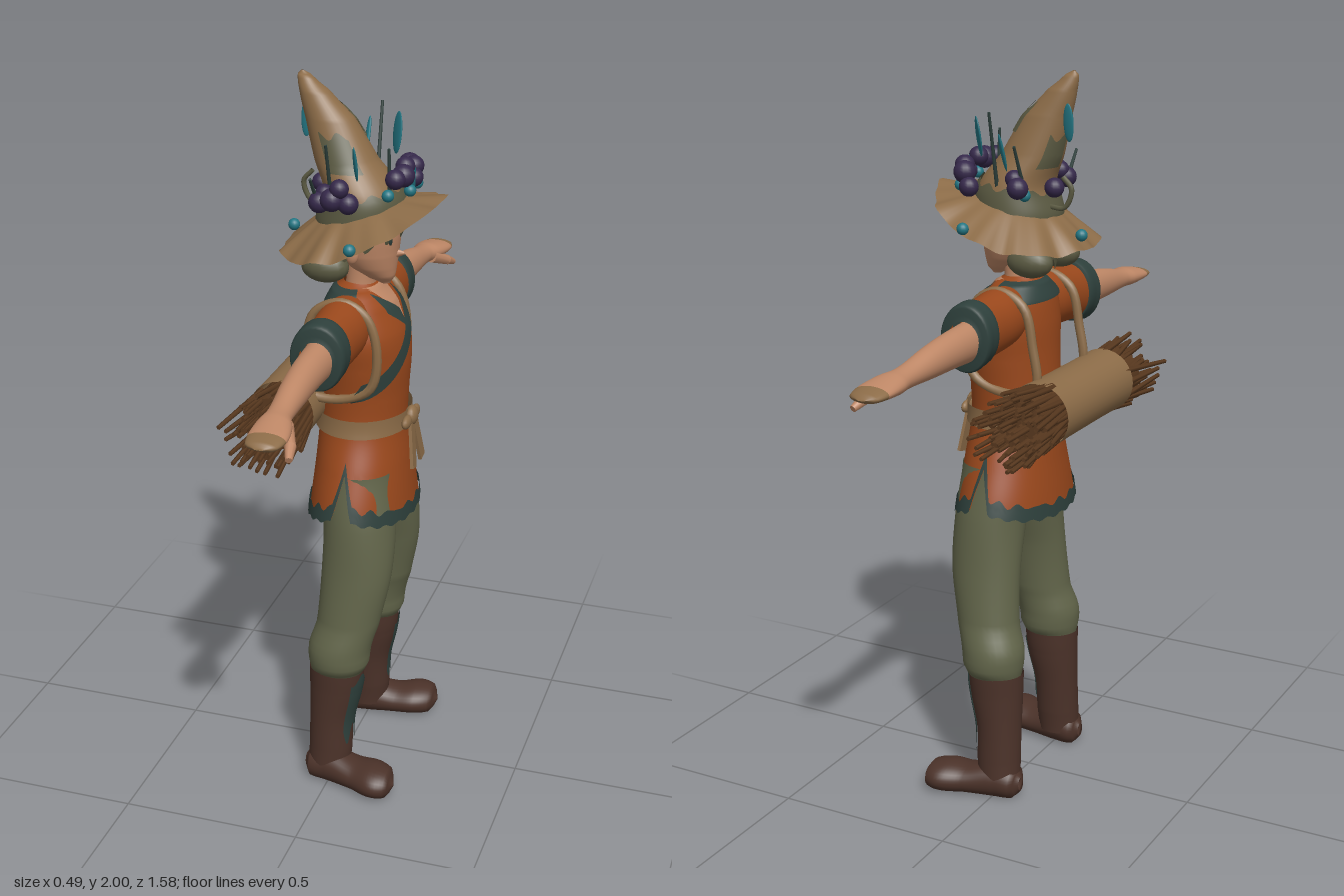
import * as THREE from 'three';
import { mergeGeometries } from 'three/addons/utils/BufferGeometryUtils.js';
import { ParametricGeometry } from 'three/addons/geometries/ParametricGeometry.js';

const PI = Math.PI, TAU = PI * 2;
const mat = (name, color) => {
  const m = new THREE.MeshStandardMaterial({ color, side: THREE.DoubleSide });
  m.name = name;
  return m;
};

// Seeded random numbers
let seed = 7;
const rnd = () => (seed = (seed * 16807) % 2147483647) / 2147483647;

// Rows are [position, centreX, centreZ, radiusX, radiusZ], in rising order; returns a smooth section
function section(rows, y) {
  let i = 0;
  while (i < rows.length - 2 && y > rows[i + 1][0]) i++;
  const t = (y - rows[i][0]) / (rows[i + 1][0] - rows[i][0]);
  const a = rows[Math.max(i - 1, 0)], b = rows[i], c = rows[i + 1], d = rows[Math.min(i + 2, rows.length - 1)];
  return [1, 2, 3, 4].map(k => 0.5 * (2 * b[k] + (c[k] - a[k]) * t + (2 * a[k] - 5 * b[k] + 4 * c[k] - d[k]) * t * t
    + (3 * b[k] - a[k] - 3 * c[k] + d[k]) * t * t * t));
}

// Skin over elliptical sections, or an offset piece of it
function shell(rows, { lo = rows[0][0], hi = rows[rows.length - 1][0], t0 = 0, t1 = TAU, off = 0, n = 32, m = 28 } = {}) {
  const at = (f, a) => (typeof f === 'function' ? f(a) : f);
  return new ParametricGeometry((u, v, p) => {
    const a = t0 + (t1 - t0) * u, l = at(lo, a), y = l + (at(hi, a) - l) * v;
    const [cx, cz, rx, rz] = section(rows, y);
    p.set(cx + (Math.max(rx, 0.001) + off) * Math.sin(a), y, cz + (Math.max(rz, 0.001) + off) * Math.cos(a));
  }, n, m);
}
// Rows along x: [x, y, z, ry, rz];  rows along z: [z, x, y, rx, ry]
const alongX = (rows, o) => shell(rows.map(r => [r[0], -r[1], r[2], r[3], r[4]]), o).rotateZ(-PI / 2);
const alongZ = (rows, o) => shell(rows.map(r => [r[0], r[1], -r[2], r[3], r[4]]), o).rotateX(PI / 2);

function mirrored(geo) {
  const g = geo.clone().scale(-1, 1, 1), ix = g.index.array;
  for (let i = 0; i < ix.length; i += 3) [ix[i], ix[i + 1]] = [ix[i + 1], ix[i]];
  return g;
}

// Cylinder between two points
function rod(a, b, r0, r1 = r0, sides = 5) {
  const d = b.clone().sub(a), g = new THREE.CylinderGeometry(r1, r0, d.length(), sides);
  g.applyQuaternion(new THREE.Quaternion().setFromUnitVectors(new THREE.Vector3(0, 1, 0), d.normalize()));
  const c = a.clone().add(b).multiplyScalar(0.5);
  return g.translate(c.x, c.y, c.z);
}
const V = (x, y, z) => new THREE.Vector3(x, y, z);
const ball = (x, y, z, rx, ry = rx, rz = rx) => new THREE.SphereGeometry(1, 16, 12).scale(rx, ry, rz).translate(x, y, z);

export function createModel() {
  seed = 7;
  const model = new THREE.Group(), body = new THREE.Group();
  body.name = 'forager';
  body.rotation.y = PI / 2; // parts are built facing +z, then turned to face +x
  model.add(body);
  const straw = mat('straw tan', 0x8c6c48), skin = mat('skin', 0xbe8766), rust = mat('rust cloth', 0x9a481c),
    trim = mat('dark teal trim', 0x2e403c), olive = mat('olive trousers', 0x62654a), leather = mat('boot leather', 0x4b3229),
    bark = mat('twig bark', 0x59391f), berry = mat('berry purple', 0x35284a), leaf = mat('leaf cyan', 0x237683),
    moss = mat('moss hair', 0x5b5a42);
  const add = (name, geo, m) => {
    const mesh = new THREE.Mesh(geo, m);
    mesh.name = name;
    body.add(mesh);
  };
  const pair = (name, geo, m) => { add(name + 'Left', geo, m); add(name + 'Right', mirrored(geo), m); };

  // Trousers
  pair('trouserLeg', shell([[0.345, 0.172, 0.013, 0.06, 0.07], [0.38, 0.172, 0.02, 0.08, 0.084], [0.43, 0.17, 0.022, 0.083, 0.088],
    [0.5, 0.158, 0.042, 0.077, 0.088], [0.65, 0.138, 0.06, 0.08, 0.098], [0.8, 0.108, 0.06, 0.096, 0.1], [0.95, 0.09, 0.045, 0.09, 0.1]]), olive);

  // Boots: shaft, foot with flat sole, teal patch on the shin
  const shaft = [[0.04, 0.187, -0.005, 0.056, 0.06], [0.1, 0.183, -0.002, 0.057, 0.062], [0.2, 0.177, 0, 0.06, 0.063],
    [0.3, 0.171, 0.01, 0.068, 0.074], [0.365, 0.17, 0.013, 0.072, 0.078]];
  pair('bootShaft', shell(shaft), leather);
  pair('bootPatch', shell(shaft, { lo: a => 0.16 + 0.03 * Math.sin(a * 9), hi: a => 0.34 + 0.015 * Math.sin(a * 7), t0: -0.3, t1: 0.75, off: 0.004 }), trim);
  const foot = alongZ([[-0.073, 0.188, 0.04, 0.015, 0.02], [-0.055, 0.188, 0.042, 0.048, 0.045], [0, 0.194, 0.045, 0.053, 0.052],
    [0.08, 0.21, 0.038, 0.06, 0.042], [0.14, 0.226, 0.04, 0.07, 0.044], [0.185, 0.232, 0.038, 0.052, 0.036], [0.2, 0.234, 0.036, 0.004, 0.004]]);
  const fp = foot.attributes.position;
  for (let i = 0; i < fp.count; i++) fp.setY(i, Math.max(0, fp.getY(i)));
  pair('bootFoot', foot, leather);

  // Tunic with ragged hem and side slits
  const torso = [[0.76, 0, 0.04, 0.235, 0.145], [0.85, 0, 0.04, 0.215, 0.138], [0.95, 0, 0.04, 0.18, 0.128], [1.06, 0, 0.038, 0.142, 0.118],
    [1.15, 0, 0.04, 0.138, 0.118], [1.25, 0, 0.045, 0.15, 0.118], [1.33, 0, 0.042, 0.16, 0.112], [1.4, 0, 0.03, 0.14, 0.09],
    [1.44, 0, 0.022, 0.085, 0.062], [1.455, 0, 0.022, 0.04, 0.04]];
  const hem = a => {
    const d = Math.abs(Math.abs(a > PI ? a - TAU : a) - PI / 2);
    return 0.85 - 0.045 * Math.abs(Math.cos(a)) + 0.004 * Math.sin(a * 23) + 0.11 * Math.max(0, 1 - d / 0.2);
  };
  add('tunic', shell(torso, { lo: hem, n: 128, m: 44 }), rust);
  add('hemTrim', shell(torso, { lo: a => hem(a) - 0.004, hi: a => hem(a) + 0.034 + 0.006 * Math.sin(a * 17), off: 0.005, n: 128, m: 4 }), trim);
  add('collarBack', shell(torso, { lo: 1.395, hi: 1.447, t0: PI * 0.4, t1: PI * 1.6, off: 0.006, m: 8 }), trim);

  // Pieces lying on the chest
  const onChest = (x, y, off, p) => {
    const [cx, cz, rx, rz] = section(torso, y), s = Math.min(0.999, Math.abs(x) / (rx + off));
    p.set(Math.sign(x) * s * (rx + off), y, cz + (rz + off) * Math.sqrt(1 - s * s));
  };
  const ribbon = (x0, y0, x1, y1, w, off) => new ParametricGeometry((u, v, p) =>
    onChest(x0 + (x1 - x0) * u, y0 + (y1 - y0) * u + (v - 0.5) * w, off, p), 30, 4);
  add('openNeck', new ParametricGeometry((u, v, p) => onChest((u - 0.5) * 0.11 * v, 1.35 + 0.098 * v, 0.004, p), 12, 12), skin);
  add('lapelLong', ribbon(-0.148, 1.185, 0.075, 1.41, 0.055, 0.008), trim);
  add('lapelShort', ribbon(-0.065, 1.415, 0.0, 1.36, 0.05, 0.007), trim);

  // Sash with knot and hanging tails
  add('sash', shell(torso, { lo: 1.055, hi: 1.105, off: 0.012, m: 6 }), straw);
  add('sashKnot', ball(0, 1.08, 0.172, 0.03, 0.028, 0.018), straw);
  for (const s of [-1, 1]) {
    add('sashTail', new THREE.BoxGeometry(0.034, 0.13, 0.009).rotateX(-0.12).rotateZ(s * 0.22).translate(s * 0.026, 1.005, 0.183), straw);
    add('sashLoop', ball(s * 0.04, 1.075, 0.17, 0.03, 0.018, 0.012), straw);
  }

  // Sleeves, cuffs, arms and hands
  pair('sleeve', alongX([[0.05, 1.365, 0.02, 0.07, 0.06], [0.13, 1.362, 0.02, 0.08, 0.072], [0.22, 1.355, 0.018, 0.08, 0.068], [0.31, 1.35, 0.015, 0.08, 0.066]]), rust);
  pair('cuff', alongX([[0.262, 1.354, 0.015, 0.06, 0.05], [0.268, 1.354, 0.015, 0.086, 0.071], [0.3, 1.352, 0.014, 0.09, 0.073], [0.328, 1.348, 0.013, 0.086, 0.07], [0.334, 1.347, 0.013, 0.05, 0.045]]), trim);
  const arm = [[0.25, 1.34, 0.014, 0.055, 0.046], [0.4, 1.338, 0.013, 0.048, 0.041], [0.5, 1.331, 0.015, 0.041, 0.037], [0.62, 1.319, 0.02, 0.028, 0.032],
    [0.67, 1.315, 0.026, 0.027, 0.045], [0.73, 1.311, 0.031, 0.02, 0.05], [0.775, 1.308, 0.031, 0.013, 0.04], [0.79, 1.307, 0.03, 0.002, 0.012]];
  pair('arm', alongX(arm, { hi: 0.74 }), skin);
  pair('fingers', alongX(arm, { lo: 0.74, m: 10 }), straw);
  pair('thumb', rod(V(0.645, 1.308, 0.045), V(0.705, 1.28, 0.078), 0.02, 0.014, 10), skin);
  pair('thumbTip', rod(V(0.7, 1.283, 0.076), V(0.74, 1.265, 0.086), 0.015, 0.009, 10), skin);

  // Neck, head and face
  add('neck', shell([[1.4, 0, 0.025, 0.055, 0.045], [1.45, 0, 0.028, 0.042, 0.04], [1.53, 0, 0.035, 0.04, 0.04]]), skin);
  add('head', shell([[1.452, 0, 0.095, 0.01, 0.012], [1.47, 0, 0.082, 0.035, 0.038], [1.5, 0, 0.06, 0.06, 0.065], [1.54, 0, 0.045, 0.078, 0.085],
    [1.6, 0, 0.04, 0.088, 0.095], [1.66, 0, 0.038, 0.085, 0.09], [1.7, 0, 0.03, 0.04, 0.04]]), skin);
  add('nose', rod(V(0, 1.535, 0.115), V(0, 1.538, 0.147), 0.016, 0.004, 8), skin);
  pair('eye', ball(0.04, 1.585, 0.121, 0.015, 0.016, 0.004), trim);
  pair('ear', ball(0.087, 1.55, 0.03, 0.012, 0.026, 0.018), skin);

  // Hair cap with strands over the brow, and low side buns
  add('hair', shell([[1.45, 0, -0.01, 0.06, 0.06], [1.52, 0, 0.01, 0.09, 0.09], [1.6, 0, 0.032, 0.1, 0.112], [1.66, 0, 0.035, 0.1, 0.105], [1.69, 0, 0.03, 0.06, 0.06]],
    { lo: a => 1.545 + 0.055 * Math.cos(a) + 0.016 * Math.sin(a * 13), n: 96 }), moss);
  pair('hairBun', ball(0.08, 1.508, -0.045, 0.042, 0.042, 0.065), moss);

  // Hat: drooping brim tilted back, bent cone, mossy band and patches
  add('hatBrim', new ParametricGeometry((u, v, p) => {
    const a = u * TAU, c = Math.cos(a), s = Math.sin(a), w = 0.005 * Math.sin(a * 9) + 0.003 * Math.sin(a * 16);
    const y0 = 1.66 + 0.025 * c, y1 = 1.598 + 0.075 * c + 0.018 * Math.cos(2 * a) + w;
    p.set(s * (0.1 + (0.135 + w) * v), y0 + (y1 - y0) * Math.pow(v, 1.15), 0.03 + 0.005 * v + c * (0.1 + (0.113 + w) * v));
  }, 96, 12), straw);
  const cone = [[1.63, 0, 0.03, 0.118, 0.112], [1.7, 0, 0.032, 0.11, 0.1], [1.78, 0, -0.012, 0.08, 0.084], [1.88, 0, -0.054, 0.054, 0.066],
    [1.95, 0, -0.097, 0.033, 0.04], [1.99, 0, -0.124, 0.014, 0.018], [2, 0, -0.13, 0.002, 0.003]];
  add('hatCone', shell(cone, { m: 40 }), straw);
  add('hatBand', shell(cone, { lo: a => 1.64 + 0.02 * Math.cos(a), hi: a => 1.7 + 0.015 * Math.cos(a) + 0.008 * Math.sin(a * 11), off: 0.008, n: 64, m: 8 }), moss);
  [[0.1, 0.9, 1.84, 1.91], [-1.9, -0.9, 1.76, 1.85], [2.3, 3.1, 1.75, 1.83]].forEach(([t0, t1, lo, hi]) =>
    add('hatPatch', shell(cone, { t0, t1, lo, hi: a => hi + 0.01 * Math.sin(a * 9), off: 0.004, n: 12, m: 8 }), moss));

  // Berry clusters [x, y, z, radius]
  const berries = [[0.14, 1.71, -0.04, 0.028], [0.12, 1.73, -0.02, 0.024], [0.13, 1.74, 0.12, 0.03], [0.145, 1.705, 0.1, 0.026], [0.085, 1.75, 0.145, 0.027],
    [0.05, 1.73, 0.155, 0.025], [0.02, 1.765, 0.14, 0.026], [-0.03, 1.755, 0.15, 0.03], [-0.07, 1.755, 0.14, 0.026], [-0.16, 1.715, 0.0, 0.03],
    [-0.14, 1.7, -0.04, 0.028], [-0.15, 1.705, 0.04, 0.027], [-0.16, 1.745, 0.02, 0.025], [-0.125, 1.72, -0.03, 0.024], [0.03, 1.7, -0.09, 0.026]];
  add('berries', mergeGeometries(berries.map(b => ball(...b))), berry);
  const beads = [[0.232, 1.612, 0.07], [-0.232, 1.612, 0.07], [0.1, 1.7, 0.15], [-0.02, 1.715, 0.165], [-0.1, 1.72, 0.13], [0.12, 1.69, -0.05], [0.02, 1.58, -0.165]];
  add('beads', mergeGeometries(beads.map(b => ball(...b, 0.016))), leaf);

  // Upright leaves on the hat [x, y, z, width, height, lean, turn]
  [[0.1, 1.83, 0.095, 0.026, 0.055, -0.25, 0.7], [-0.12, 1.8, 0.05, 0.012, 0.05, 0.3, 0.5], [0.03, 1.74, 0.16, 0.024, 0.035, 0.3, 0.1],
    [0.03, 1.87, -0.13, 0.016, 0.05, -0.1, 1.4], [0.145, 1.8, -0.0, 0.01, 0.055, -0.4, 0.8]].forEach(([x, y, z, w, h, lean, turn]) =>
    add('hatLeaf', ball(0, 0, 0, w, h, 0.005).rotateY(turn).rotateZ(lean).translate(x, y, z), leaf));
  const sprigs = [[-0.1, -0.02, -0.145, 1.85], [0.1, 0.04, 0.145, 1.9], [0.1, -0.04, 0.16, 1.82], [-0.05, 0.12, -0.06, 1.83], [-0.12, -0.05, -0.18, 1.77]];
  add('hatSprigs', mergeGeometries(sprigs.map(([x, z, x1, y1]) => rod(V(x, 1.69, z), V(x1, y1, z), 0.006, 0.004))), trim);
  add('hatTendril', new THREE.TubeGeometry(new THREE.CatmullRomCurve3([V(0.03, 1.65, -0.08), V(0.03, 1.65, -0.12), V(0.03, 1.7, -0.14), V(0.03, 1.73, -0.115)]), 16, 0.007, 6), moss);

  // Bundle of twigs in a cloth wrap across the back
  const by = 1.13, bz = -0.13;
  add('bundleWrap', alongX([[-0.2, by, bz, 0.088, 0.09], [-0.1, by, bz, 0.086, 0.09], [0.1, by, bz, 0.086, 0.09], [0.2, by, bz, 0.088, 0.09]]), straw);
  add('bundleCore', new THREE.CylinderGeometry(0.075, 0.075, 0.56, 12).rotateZ(PI / 2).translate(0, by, bz), bark);
  const twigs = [];
  for (let i = 0; i < 220; i++) {
    const s = i % 2 ? 1 : -1, a = rnd() * TAU, r = 0.08 * Math.sqrt(rnd()), k = 1.1 + 0.32 * rnd(), b = a + (rnd() - 0.5) * 0.7;
    twigs.push(rod(V(s * 0.16, by + r * Math.sin(a), bz + r * Math.cos(a)),
      V(s * (0.28 + 0.12 * rnd()), by + r * k * Math.sin(b), bz + r * k * Math.cos(b)), 0.009, 0.006));
  }
  add('twigs', mergeGeometries(twigs), bark);

  // Carrying straps looped around the shoulders
  const loop = [[1.435, 0.02], [1.4, 0.085], [1.3, 0.115], [1.2, 0.095], [1.16, 0.0], [1.18, -0.09], [1.3, -0.082], [1.4, -0.055]];
  const strap = new THREE.TubeGeometry(new THREE.CatmullRomCurve3(loop.map(([y, z]) => V(0.138, y, z)), true), 48, 0.013, 8, true);
  pair('strap', strap, straw);
  return model;
}
